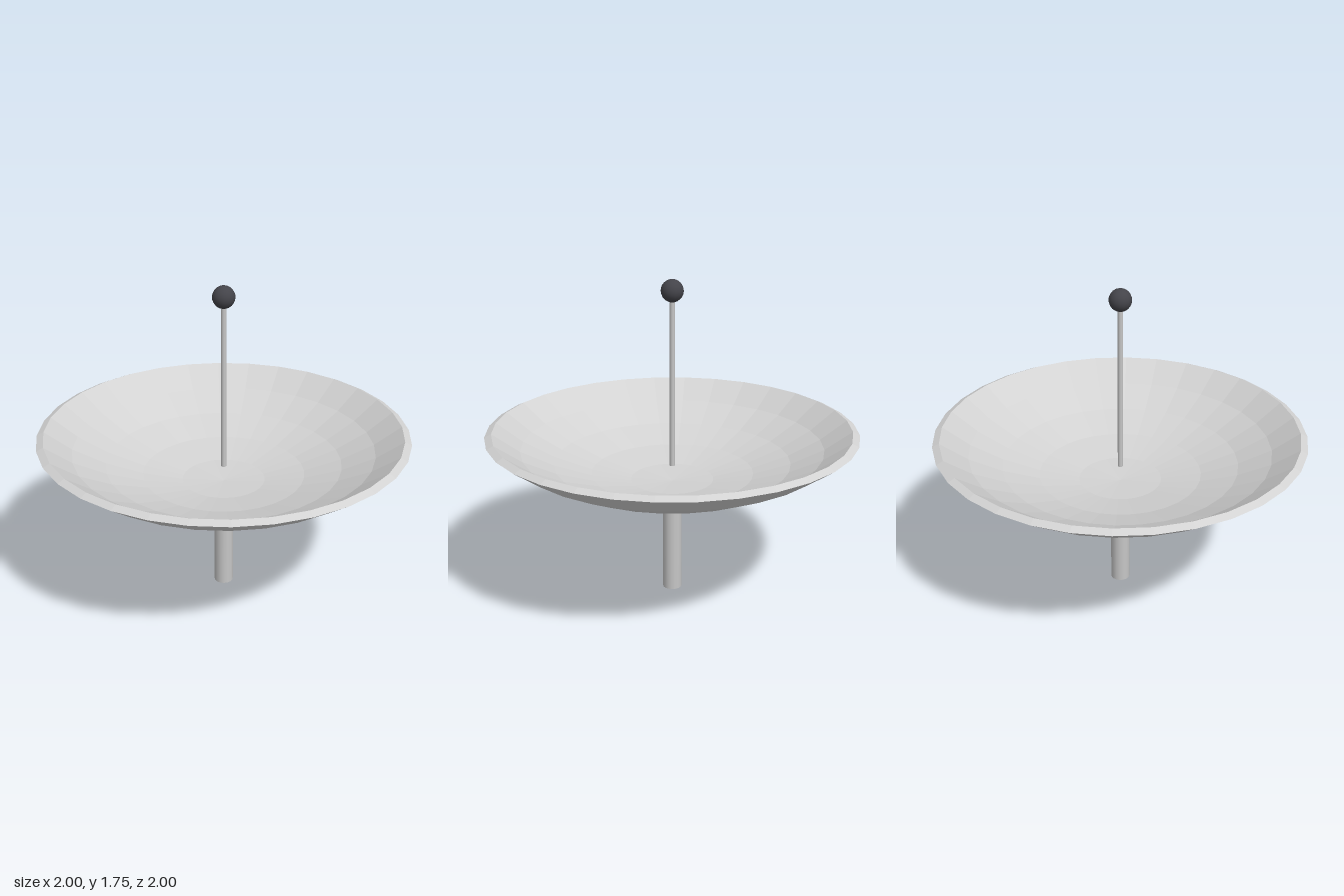
import * as THREE from 'three';

const dishPaint = new THREE.MeshStandardMaterial({ color: 0xd2d2d2 });
dishPaint.name = 'light grey paint';
const metal = new THREE.MeshStandardMaterial({ color: 0xc6c6c6 });
metal.name = 'grey metal';
const darkPlastic = new THREE.MeshStandardMaterial({ color: 0x44444a });
darkPlastic.name = 'dark plastic';

function add(group, name, geometry, material, y = 0) {
  const mesh = new THREE.Mesh(geometry, material);
  mesh.name = name;
  mesh.position.y = y;
  group.add(mesh);
}

// Flattened spherical cap, as profile points from the pole out to the rim
function capProfile(rimRadius, bottomY, rimY, rings = 5) {
  const sweep = THREE.MathUtils.degToRad(55);
  const r = rimRadius / Math.sin(sweep);
  const h = (rimY - bottomY) / (1 - Math.cos(sweep));
  return Array.from({ length: rings + 1 }, (_, i) => {
    const a = (sweep * i) / rings;
    return new THREE.Vector2(r * Math.sin(a), bottomY + h * (1 - Math.cos(a)));
  });
}

// Thick faceted bowl: outer cap, sloping lip, inner cap
function dishGeometry() {
  const outer = capProfile(1, 0.605, 0.925);
  const inner = capProfile(0.963, 0.635, 0.943).reverse();
  const geometry = new THREE.LatheGeometry([...outer, ...inner], 32).toNonIndexed();
  geometry.computeVertexNormals();
  return geometry;
}

export function createModel() {
  const model = new THREE.Group();
  model.name = 'dishAntenna';

  add(model, 'supportPost', new THREE.CylinderGeometry(0.052, 0.052, 0.615, 16), metal, 0.3075);
  add(model, 'dish', dishGeometry(), dishPaint);
  // Feed rod begins just above the bowl floor
  add(model, 'feedRod', new THREE.CylinderGeometry(0.014, 0.014, 0.96, 12), metal, 1.205);
  add(model, 'receiverBall', new THREE.SphereGeometry(0.06, 16, 12), darkPlastic, 1.685);

  return model;
}
